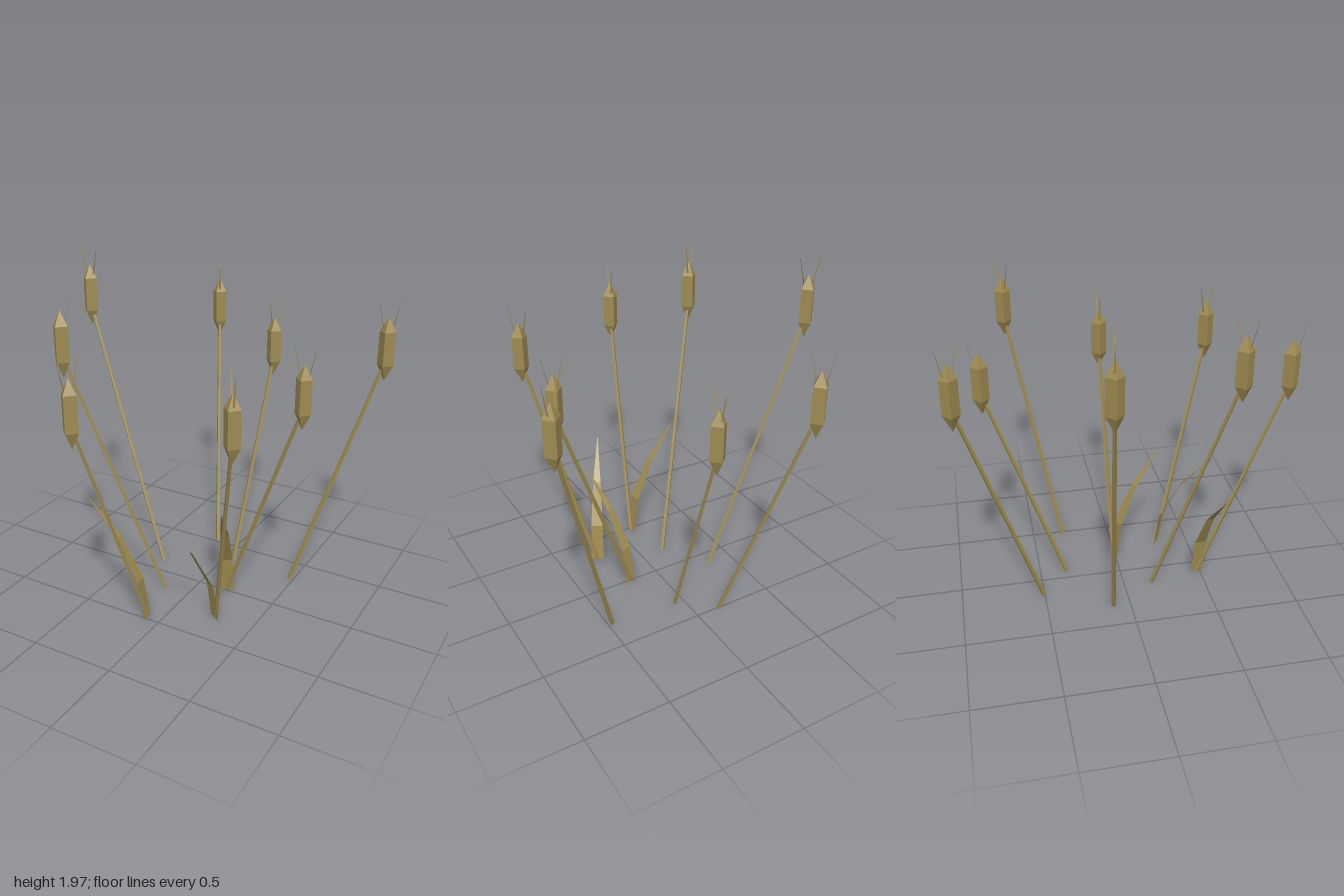
import * as THREE from 'three';

const straw = new THREE.MeshStandardMaterial({ color: 0xa08c52, flatShading: true, side: THREE.DoubleSide });
straw.name = 'straw';

// Flat ribbon through [outward, height, halfWidth] rows, starting at (x, z) and leaning along unit (dx, dz)
function ribbon(name, x, z, dx, dz, rows) {
  const pos = [], index = [];
  rows.forEach(([d, y, w], i) => {
    for (const s of [-1, 1]) pos.push(x + dx * d + s * dz * w, y, z + dz * d - s * dx * w);
    const a = i * 2;
    if (i) index.push(a - 2, a - 1, a, a - 1, a + 1, a);
  });
  const geo = new THREE.BufferGeometry();
  geo.setAttribute('position', new THREE.Float32BufferAttribute(pos, 3));
  geo.setIndex(index);
  geo.computeVertexNormals();
  const mesh = new THREE.Mesh(geo, straw);
  mesh.name = name;
  return mesh;
}

// Four-sided stalk between two points
function stalk(from, to) {
  const dir = to.clone().sub(from);
  const mesh = new THREE.Mesh(new THREE.CylinderGeometry(0.011, 0.014, dir.length(), 4), straw);
  mesh.position.copy(from).addScaledVector(dir, 0.5);
  mesh.quaternion.setFromUnitVectors(new THREE.Vector3(0, 1, 0), dir.normalize());
  mesh.name = 'stalk';
  return mesh;
}

// Grain head: square prism with pointed ends
const headGeometry = new THREE.LatheGeometry(
  [[0, 0], [0.048, 0.095], [0.048, 0.295], [0, 0.378]].map(([r, y]) => new THREE.Vector2(r, y)), 4);

// Base x, z; head x, z; height of the head's lower tip
const ears = [
  [-0.33, -0.105, -0.885, -0.2, 1.5],
  [-0.145, -0.505, -0.38, -0.945, 1.32],
  [0.062, -0.335, 0.1, -0.78, 1.16],
  [0.475, -0.305, 0.89, -0.58, 1.315],
  [0.185, -0.008, 0.63, -0.012, 1.16],
  [0.27, 0.295, 0.545, 0.655, 1.2],
  [-0.085, 0.48, -0.205, 0.935, 1.23],
  [-0.15, 0.17, -0.55, 0.535, 1.425],
];

// Base x, z; tip x, z; tip height
const leaves = [
  [0.187, -0.005, 0.31, 0.315, 0.7],
  [0.265, 0.295, 0.085, 0.602, 0.72],
  [-0.088, 0.482, -0.45, 0.527, 0.74],
];

export function createModel() {
  const group = new THREE.Group();
  group.name = 'grainStalks';

  for (const [bx, bz, hx, hz, y] of ears) {
    const ear = new THREE.Group();
    ear.name = 'ear';
    ear.add(stalk(new THREE.Vector3(bx, 0.005, bz), new THREE.Vector3(hx, y + 0.12, hz)));

    const head = new THREE.Mesh(headGeometry, straw);
    head.position.set(hx, y, hz);
    head.name = 'grainHead';
    ear.add(head);

    // Pair of bristles spreading along the lean
    const len = Math.hypot(hx - bx, hz - bz);
    for (const s of [-1, 1]) {
      ear.add(ribbon('bristle', hx, hz, s * (hx - bx) / len, s * (hz - bz) / len,
        [[0.02, y + 0.28, 0.007], [0.064, y + 0.473, 0.002]]));
    }
    group.add(ear);
  }

  // Tapering leaves bending outward
  for (const [bx, bz, tx, tz, h] of leaves) {
    const d = Math.hypot(tx - bx, tz - bz);
    group.add(ribbon('leaf', bx, bz, (tx - bx) / d, (tz - bz) / d,
      [[0, 0, 0.04], [d * 0.095, h * 0.33, 0.037], [d * 0.45, h * 0.68, 0.024], [d, h, 0.001]]));
  }
  return group;
}
